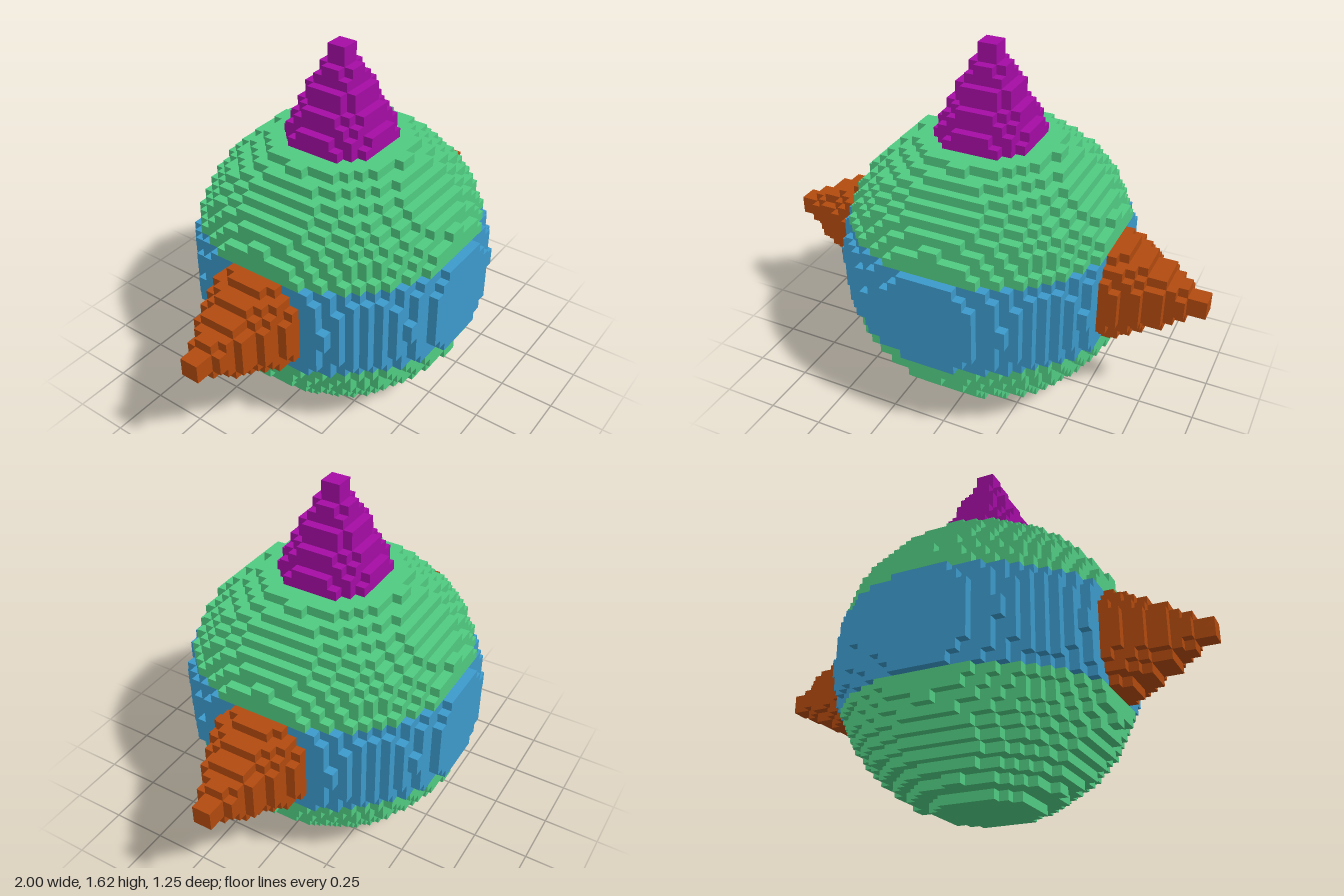
import * as THREE from 'three';

const U = 1 / 24;   // edge length of one block
const R = 15;       // ball radius in blocks
const CUT = 14;     // where the spikes replace the ball's outer layer
const BAND = 5;     // half height of the band
const SPIKE = 10;   // spike length in blocks

// Round slice of a spike that narrows with its distance along the axis
const spike = (along, a, b) => {
  const k = along - CUT - 0.5;
  return k >= 0 && k < SPIKE && Math.hypot(a, b) <= 5.5 - k * 0.5;
};

// Part at a block centre, measured from the centre of the ball
function partAt(x, y, z) {
  if (y > CUT) return spike(y, x, z) ? 'topSpike' : null;
  if (x > CUT) return spike(x, y, z) ? 'leftSpike' : null;
  if (x < -CUT) return spike(-x, y, z) ? 'rightSpike' : null;
  if (x * x + y * y + z * z > (R + 0.5) ** 2) return null;
  if (Math.abs(y) < BAND) return 'middleBand';
  return y > 0 ? 'upperBody' : 'lowerBody';
}

// The two in-plane axes of a block face, ordered so u x v points outward
function faceAxes(axis, sign) {
  const n = [0, 0, 0], u = [0, 0, 0], v = [0, 0, 0];
  n[axis] = sign;
  u[(axis + 1) % 3] = 1;
  v[(axis + 2) % 3] = sign;
  return { n, u, v };
}
const FACES = [0, 1, 2].flatMap((axis) => [faceAxes(axis, 1), faceAxes(axis, -1)]);
const CORNERS = [[-1, -1], [1, -1], [1, 1], [-1, -1], [1, 1], [-1, 1]];

export function createModel() {
  const group = new THREE.Group();
  const material = (name, color) => {
    const m = new THREE.MeshStandardMaterial({ color });
    m.name = name;
    return m;
  };
  const green = material('green', 0x50cc82);
  const blue = material('blue', 0x3c9acc);
  const orange = material('orange', 0xb24a0e);
  const purple = material('purple', 0xa50ca5);
  const parts = {
    lowerBody: green, middleBand: blue, upperBody: green,
    topSpike: purple, leftSpike: orange, rightSpike: orange,
  };
  const data = {};
  for (const name in parts) data[name] = { position: [], normal: [] };

  // Collect the exposed block faces of every part
  const end = CUT + SPIKE;
  for (let x = -end + 0.5; x < end; x++)
    for (let y = -R + 0.5; y < end; y++)
      for (let z = -R + 0.5; z < R; z++) {
        const part = partAt(x, y, z);
        if (!part) continue;
        for (const { n, u, v } of FACES) {
          if (partAt(x + n[0], y + n[1], z + n[2])) continue;
          const centre = [x, y + R, z];
          for (const [a, b] of CORNERS) {
            data[part].position.push(...centre.map((c, i) => (c + (n[i] + a * u[i] + b * v[i]) / 2) * U));
            data[part].normal.push(...n);
          }
        }
      }

  for (const name in parts) {
    const geometry = new THREE.BufferGeometry();
    for (const key of ['position', 'normal'])
      geometry.setAttribute(key, new THREE.Float32BufferAttribute(data[name][key], 3));
    const mesh = new THREE.Mesh(geometry, parts[name]);
    mesh.name = name;
    group.add(mesh);
  }
  return group;
}
